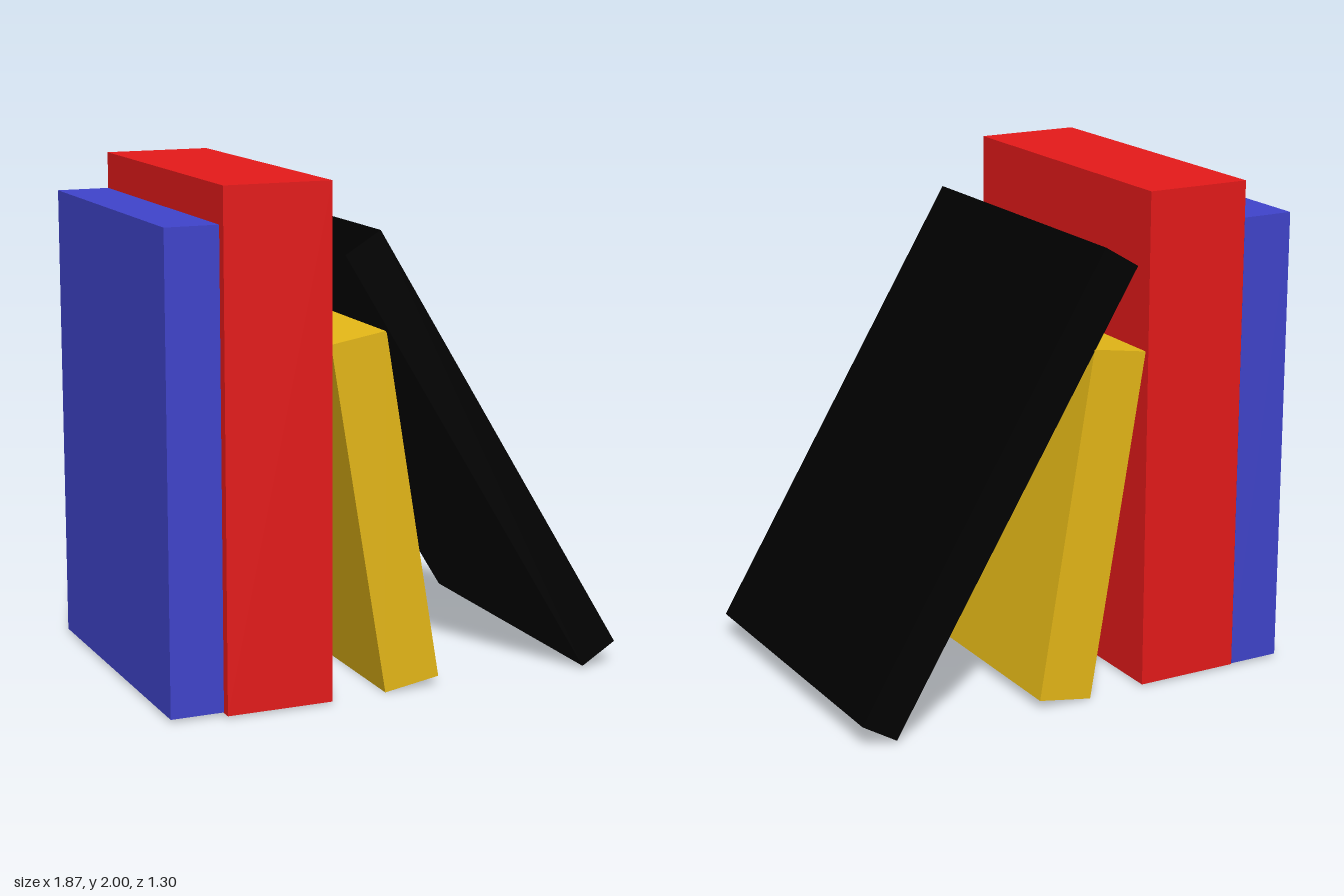
import * as THREE from 'three';

const BACK = -0.65; // all books are flush at the back

function mat(name, color) {
  const m = new THREE.MeshStandardMaterial({ color });
  m.name = name;
  return m;
}

export function createModel() {
  const group = new THREE.Group();
  group.name = 'bookRow';

  // name, colour, centre x, centre y, thickness, height, depth, lean in degrees
  const books = [
    ['blueBook', 0x4044cc, -0.831, 0.934, 0.212, 1.842, 1.26, 0],
    ['redBook', 0xe61a1a, -0.511, 1.005, 0.427, 1.99, 1.3, 0],
    ['yellowBook', 0xe5b817, -0.058, 0.711, 0.23, 1.4, 1.26, 9.4],
    ['blackBook', 0x000000, 0.344, 0.909, 0.166, 2, 1.3, 31.2],
  ];

  for (const [name, color, x, y, thickness, height, depth, lean] of books) {
    const book = new THREE.Mesh(
      new THREE.BoxGeometry(thickness, height, depth),
      mat(name.replace('Book', ' cover'), color)
    );
    book.name = name;
    book.position.set(x, y, BACK + depth / 2);
    book.rotation.z = THREE.MathUtils.degToRad(lean);
    group.add(book);
  }
  return group;
}
